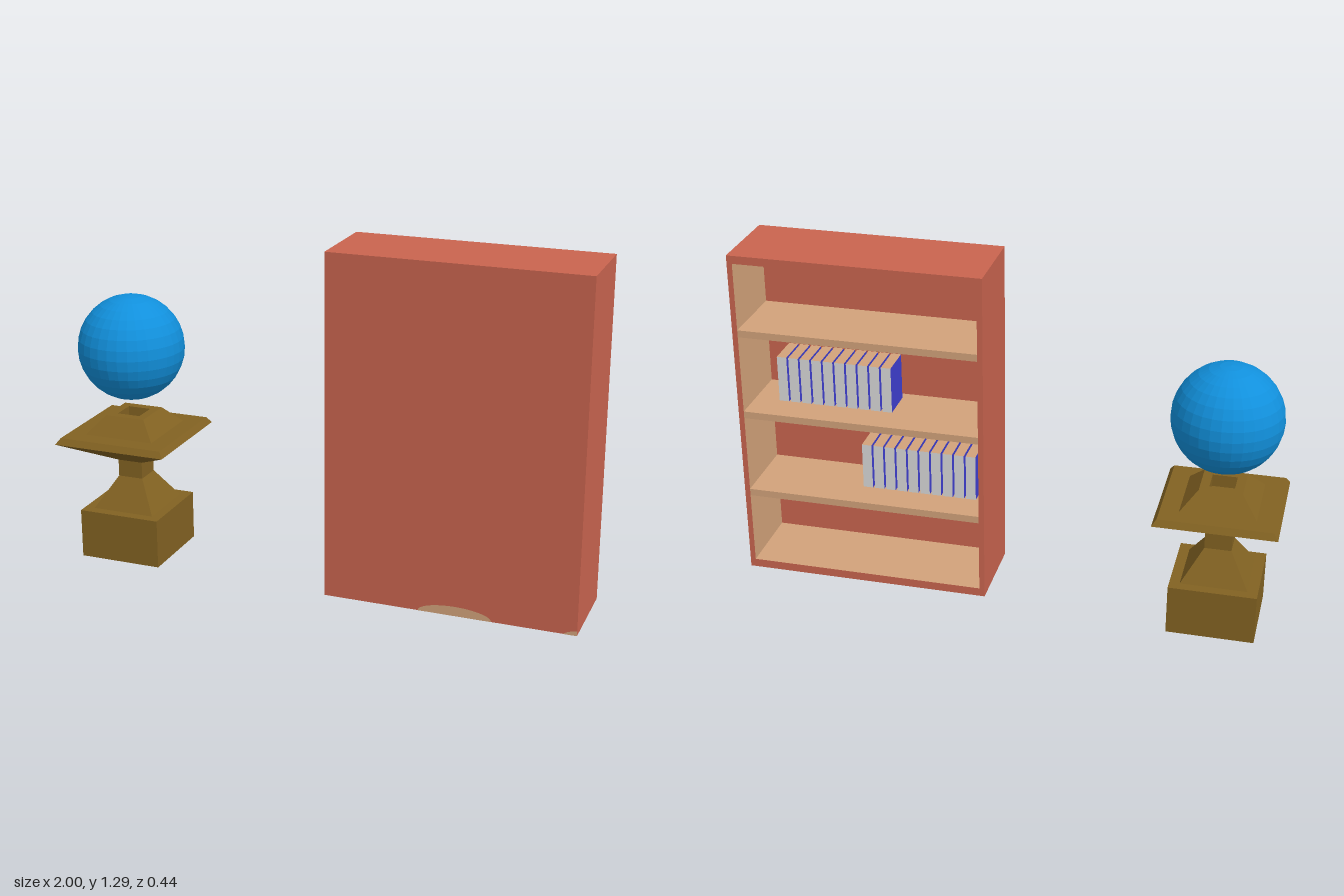
import * as THREE from 'three';

const mat = (name, color) => {
  const m = new THREE.MeshStandardMaterial({ color });
  m.name = name;
  return m;
};

export function createModel() {
  const root = new THREE.Group();
  const red = mat('red casing', 0xc9644f);
  const tan = mat('tan wood', 0xd2a27a);
  const bronze = mat('bronze', 0x826222);
  const blue = mat('globe blue', 0x1190dc);
  const navy = mat('cover blue', 0x3f3fd0);
  const pale = mat('pale grey', 0xd8d8d8);

  const add = (parent, name, geometry, material) => {
    const mesh = new THREE.Mesh(geometry, material);
    mesh.name = name;
    parent.add(mesh);
    return mesh;
  };
  // Box from its limits; materials may be one or six (+x -x +y -y +z -z)
  const box = (parent, name, x0, x1, y0, y1, z0, z1, material) => {
    const m = add(parent, name, new THREE.BoxGeometry(x1 - x0, y1 - y0, z1 - z0), material);
    m.position.set((x0 + x1) / 2, (y0 + y1) / 2, (z0 + z1) / 2);
    return m;
  };
  const faceted = (geometry) => {
    const g = geometry.toNonIndexed();
    g.computeVertexNormals();
    return g;
  };

  // Bookcase casing, open towards -z
  const bookcase = new THREE.Group();
  bookcase.name = 'bookcase';
  root.add(bookcase);
  const X0 = 0.07, X1 = 1, Y0 = 0.02, Y1 = 1.295, Z0 = -0.12, Z1 = 0.2, T = 0.02, BACK = 0.165;
  box(bookcase, 'leftSide', X1 - T, X1, Y0, Y1, Z0, BACK, [red, tan, red, tan, red, red]);
  box(bookcase, 'rightSide', X0, X0 + T, Y0, Y1, Z0, BACK, [tan, red, red, tan, red, red]);
  box(bookcase, 'topBoard', X0 + T, X1 - T, Y1 - 0.03, Y1, Z0, BACK, [red, red, red, tan, red, red]);
  box(bookcase, 'bottomBoard', X0 + T, X1 - T, Y0, 0.052, Z0, BACK, [red, red, tan, tan, red, red]);
  box(bookcase, 'backPanel', X0, X1, Y0, Y1, BACK, Z1, [red, red, red, tan, red, red]);

  // Shelves
  const shelves = [0.36, 0.685, 1.01];
  for (const y of shelves) box(bookcase, 'shelf', X0 + T, X1 - T, y - 0.027, y, Z0, BACK, tan);

  // Tan patches at the foot of the closed face
  const patch = new THREE.Shape();
  patch.absellipse(0, 0, 0.135, 0.036, 0, Math.PI, false);
  add(bookcase, 'footPatch', new THREE.ShapeGeometry(patch, 16), tan).position.set(0.56, Y0, Z1 + 0.001);
  const corner = new THREE.Shape();
  corner.moveTo(0, 0);
  corner.lineTo(0, 0.018);
  corner.quadraticCurveTo(-0.03, 0.015, -0.05, 0);
  add(bookcase, 'cornerPatch', new THREE.ShapeGeometry(corner), tan).position.set(X1, Y0, Z1 + 0.001);

  // Two rows of ten books
  const bookFaces = [tan, navy, tan, tan, pale, pale];
  const bookRow = (xStart, yShelf) => {
    const row = new THREE.Group();
    row.name = 'bookRow';
    bookcase.add(row);
    for (let i = 0; i < 10; i++) {
      const x = xStart - i * 0.0445;
      box(row, 'book', x - 0.037, x, yShelf, yShelf + 0.178, 0, 0.13, bookFaces);
    }
  };
  bookRow(0.885, shelves[1]);
  bookRow(0.57, shelves[0]);

  // Square pedestal: four-sided lathe, half-widths against height, with a socket on top
  const stand = new THREE.Group();
  stand.name = 'globeStand';
  stand.position.x = -0.78;
  root.add(stand);
  const profile = [
    [0, 0], [0.16, 0], [0.16, 0.188], [0.122, 0.188], [0.049, 0.305], [0.049, 0.37],
    [0.221, 0.467], [0.205, 0.49], [0.137, 0.49], [0.078, 0.556], [0.045, 0.556], [0.045, 0.51], [0, 0.51],
  ].map(([w, y]) => new THREE.Vector2(w * Math.SQRT2, y));
  add(stand, 'pedestal', faceted(new THREE.LatheGeometry(profile, 4, Math.PI / 4)), bronze);

  // Floating globe
  add(stand, 'globe', faceted(new THREE.SphereGeometry(0.2, 32, 16)), blue).position.y = 0.812;

  return root;
}
